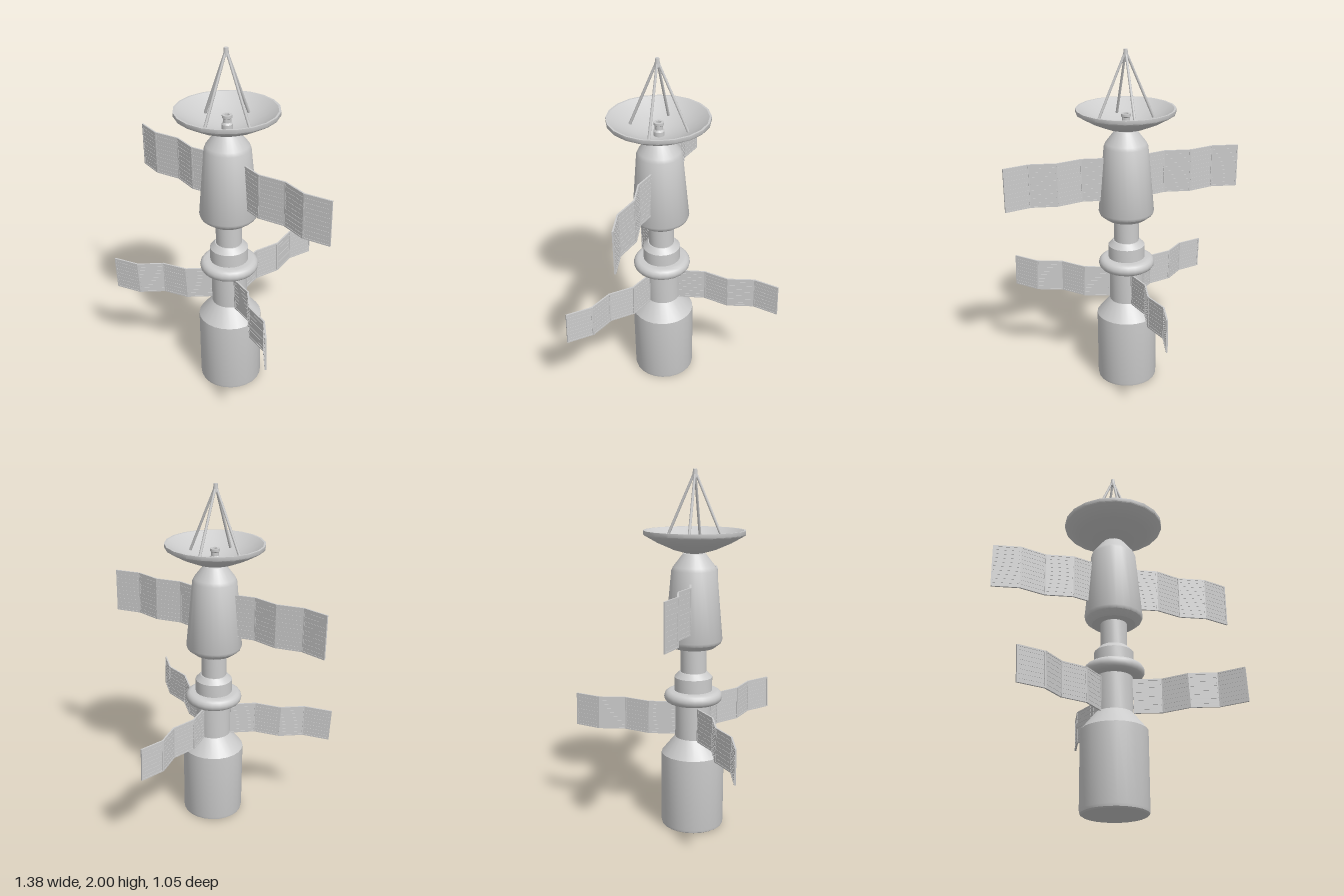
import * as THREE from 'three';
import { toCreasedNormals } from 'three/addons/utils/BufferGeometryUtils.js';

const CX = -0.004, CZ = 0.166; // axis of the hull
const grey = new THREE.MeshStandardMaterial({ color: 0xcccccc });
const greyDouble = new THREE.MeshStandardMaterial({ color: 0xcccccc, side: THREE.DoubleSide });

// Surface of revolution around the hull axis, with sharp edges kept
function turned(name, profile, sides = 24, crease = 0.55) {
  const points = profile.map(([r, y]) => new THREE.Vector2(r, y));
  const geometry = toCreasedNormals(new THREE.LatheGeometry(points, sides), crease);
  const mesh = new THREE.Mesh(geometry, greyDouble);
  mesh.name = name;
  return mesh;
}

// Tapered rod between two points
function rod(name, a, b, r0, r1) {
  const dir = new THREE.Vector3().subVectors(b, a);
  const mesh = new THREE.Mesh(new THREE.CylinderGeometry(r1, r0, dir.length(), 8), grey);
  mesh.name = name;
  mesh.position.addVectors(a, b).multiplyScalar(0.5);
  mesh.quaternion.setFromUnitVectors(new THREE.Vector3(0, 1, 0), dir.normalize());
  return mesh;
}

function box(name, w, h, d, x, y) {
  const mesh = new THREE.Mesh(new THREE.BoxGeometry(w, h, d), grey);
  mesh.name = name;
  mesh.position.set(x, y, 0);
  return mesh;
}

// One flat leaf of a folding wing: sheet, frame and slats
function leaf(length, height, slats) {
  const g = new THREE.Group();
  g.name = 'panelLeaf';
  const rim = 0.008;
  g.add(box('sheet', length, height, 0.004, 0, 0));
  for (const s of [-1, 1]) {
    g.add(box('frameRail', length, rim, 0.009, 0, s * (height - rim) / 2));
    g.add(box('framePost', rim, height, 0.009, s * (length - rim) / 2, 0));
  }
  for (let i = 1; i < slats; i++) {
    g.add(box('slat', length, 0.005, 0.007, 0, (i / slats - 0.5) * height));
  }
  return g;
}

// Zigzag wing: path of [x, z] folds, centre height running from y0 to y1
function wing(name, path, y0, y1, height, slats) {
  const g = new THREE.Group();
  g.name = name;
  const n = path.length - 1;
  const dy = (y1 - y0) / n;
  for (let i = 0; i < n; i++) {
    const [ax, az] = path[i], [bx, bz] = path[i + 1];
    const run = Math.hypot(bx - ax, bz - az);
    const part = leaf(Math.hypot(run, dy) + 0.003, height, slats);
    part.position.set((ax + bx) / 2, y0 + dy * (i + 0.5), (az + bz) / 2);
    part.rotation.order = 'YZX';
    part.rotation.y = Math.atan2(az - bz, bx - ax);
    part.rotation.z = Math.atan2(dy, run);
    g.add(part);
  }
  return g;
}

export function createModel() {
  const model = new THREE.Group();
  model.name = 'spaceStation';

  // Everything turned around the hull axis
  const hull = new THREE.Group();
  hull.name = 'hull';
  hull.position.set(CX, 0, CZ);
  model.add(hull);

  hull.add(turned('serviceModule', [
    [0, 0], [0.165, 0], [0.174, 0.006], [0.177, 0.02], [0.177, 0.43],
    [0.1, 0.525], [0.1, 0.74], [0, 0.74],
  ]));

  const ringProfile = [[0.09, 0.725]];
  for (let i = 0; i <= 8; i++) {
    const a = -Math.PI / 2 + (i / 8) * Math.PI;
    ringProfile.push([0.128 + 0.035 * Math.cos(a), 0.76 + 0.035 * Math.sin(a)]);
  }
  ringProfile.push([0.09, 0.795]);
  hull.add(turned('dockingRing', ringProfile));

  hull.add(turned('neck', [
    [0.106, 0.78], [0.106, 0.87], [0.078, 0.9], [0.072, 0.9], [0.072, 1.06],
  ]));

  hull.add(turned('commandModule', [
    [0, 1.04], [0.118, 1.04], [0.152, 1.067], [0.159, 1.085], [0.125, 1.465],
    [0.116, 1.485], [0.062, 1.555], [0, 1.565],
  ]));

  // Dish antenna with feed horn and tripod-like mast
  const antenna = new THREE.Group();
  antenna.name = 'antenna';
  hull.add(antenna);
  antenna.add(turned('dish', [
    [0, 1.555], [0.05, 1.558], [0.12, 1.578], [0.2, 1.613], [0.274, 1.655], [0.277, 1.66],
    [0.277, 1.68], [0.266, 1.68], [0.2, 1.635], [0.12, 1.596], [0.05, 1.577], [0, 1.573],
  ], 20));
  antenna.add(turned('feedHorn', [
    [0.03, 1.57], [0.03, 1.6], [0.022, 1.61], [0.022, 1.63], [0.028, 1.635],
    [0.028, 1.65], [0.014, 1.65], [0.014, 1.625], [0, 1.625],
  ], 12));
  for (let i = 0; i < 4; i++) {
    const a = (i * Math.PI) / 2;
    const c = Math.cos(a), s = Math.sin(a);
    antenna.add(rod('mastStrut', new THREE.Vector3(0.163 * c, 1.612, 0.163 * s),
      new THREE.Vector3(0.008 * c, 1.97, 0.008 * s), 0.008, 0.007));
  }
  antenna.add(rod('mastTip', new THREE.Vector3(0, 1.955, 0), new THREE.Vector3(0, 2, 0), 0.016, 0.011));

  // Upper pair of wings
  for (const [side, name] of [[1, 'upperLeftWing'], [-1, 'upperRightWing']]) {
    const path = [[0.1, 0.165], [0.247, 0.197], [0.395, 0.165], [0.543, 0.197], [0.69, 0.165]];
    model.add(wing(name, path.map(([x, z]) => [side * x, z]), 1.28, 1.28, 0.25, 10));
  }

  // Lower three wings, spread around the service module
  model.add(wing('lowerBackWing',
    [[0, 0.07], [-0.031, -0.085], [0.004, -0.233], [-0.03, -0.381], [0.006, -0.526]],
    0.62, 0.63, 0.19, 8));
  model.add(wing('lowerLeftWing',
    [[0.085, 0.215], [0.229, 0.259], [0.337, 0.363], [0.481, 0.407], [0.589, 0.513]],
    0.618, 0.641, 0.19, 8));
  model.add(wing('lowerRightWing',
    [[-0.092, 0.21], [-0.204, 0.314], [-0.348, 0.357], [-0.456, 0.457], [-0.606, 0.5]],
    0.613, 0.589, 0.19, 8));

  return model;
}
